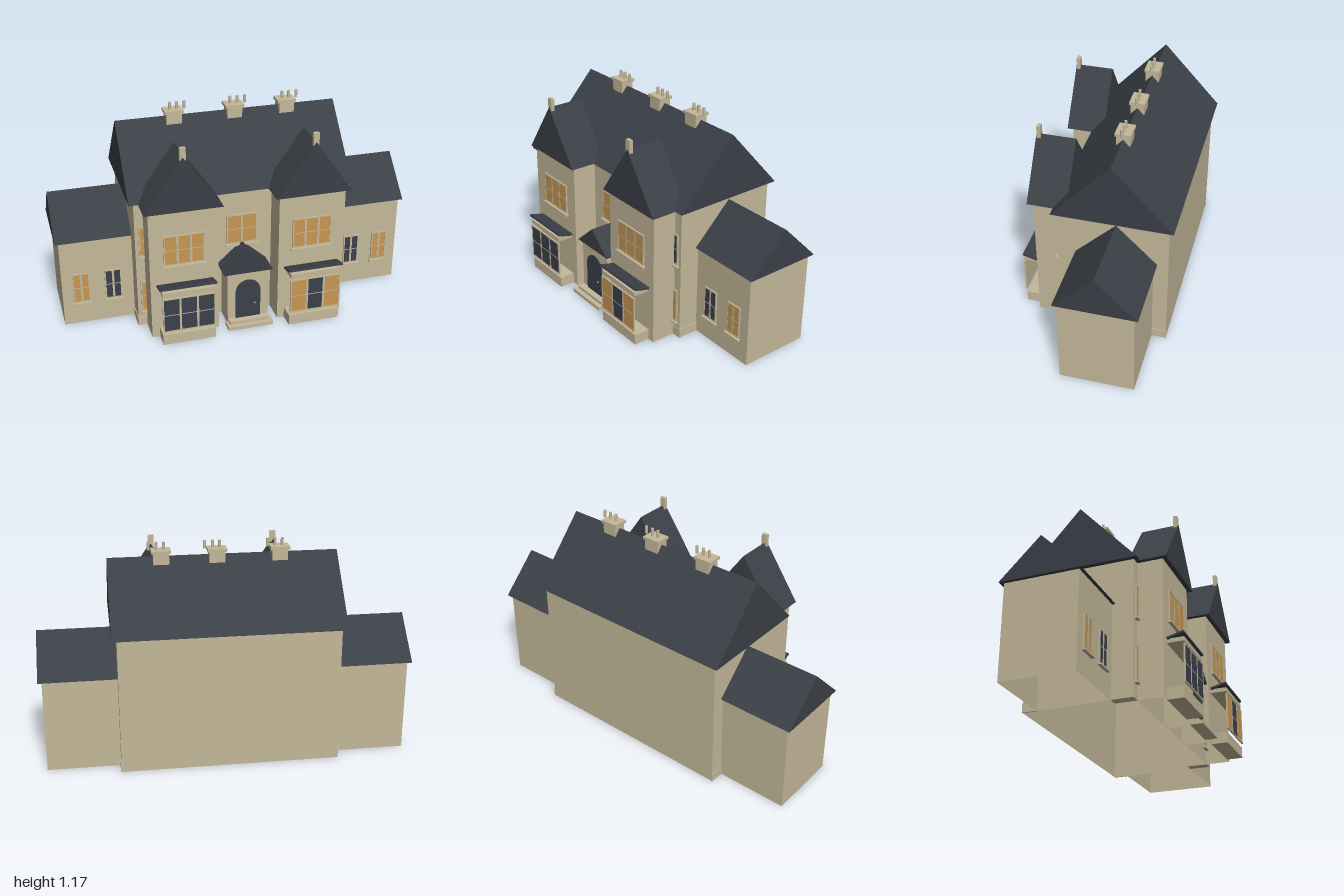
import * as THREE from 'three';

const mat = (name, color) => {
  const m = new THREE.MeshStandardMaterial({ color });
  m.name = name;
  return m;
};

export function createModel() {
  const house = new THREE.Group();
  house.name = 'house';
  const stone = mat('stone', 0xc4b899);
  stone.side = THREE.DoubleSide;
  const slate = mat('slate', 0x3b4047);
  const glass = mat('darkGlass', 0x3b404a);
  const amber = mat('litGlass', 0xc79853);

  const add = (name, geo, material, parent = house) => {
    const m = new THREE.Mesh(geo, material);
    m.name = name;
    parent.add(m);
    return m;
  };
  // box given by its limits on each axis
  const box = (name, material, [x0, x1], [y0, y1], [z0, z1], parent) => {
    const m = add(name, new THREE.BoxGeometry(x1 - x0, y1 - y0, z1 - z0), material, parent);
    m.position.set((x0 + x1) / 2, (y0 + y1) / 2, (z0 + z1) / 2);
    return m;
  };
  // hollow walls: a box keeping only the listed sides (0 +x, 1 -x, 4 +z, 5 -z)
  const walls = (name, xs, ys, zs, sides) => {
    const m = box(name, stone, xs, ys, zs);
    const index = Array.from(m.geometry.index.array);
    m.geometry.setIndex(sides.flatMap((f) => index.slice(f * 6, f * 6 + 6)));
    m.geometry.clearGroups();
  };
  // closed triangular roof with its ridge along z, or along x when alongX is set
  const roof = (name, [a0, a1], [y0, y1], [l0, l1], alongX = false) => {
    const s = new THREE.Shape();
    const k = alongX ? -1 : 1;
    const lo = Math.min(k * a0, k * a1), hi = Math.max(k * a0, k * a1);
    s.moveTo(lo, y0);
    s.lineTo(hi, y0);
    s.lineTo((lo + hi) / 2, y1);
    s.closePath();
    const g = new THREE.ExtrudeGeometry(s, { depth: l1 - l0, bevelEnabled: false });
    g.translate(0, 0, l0);
    if (alongX) g.rotateY(Math.PI / 2);
    return add(name, g, slate);
  };
  // framed window on a wall at depth z: one glass colour per light
  const windowUnit = (name, x, [y0, y1], z, w, panes, sill = true) => {
    const g = new THREE.Group();
    g.name = name;
    house.add(g);
    const x0 = x - w / 2, x1 = x + w / 2, t = 0.007;
    box('backing', stone, [x0 - t, x1 + t], [y0 - t, y1 + t], [z, z + 0.003], g);
    for (const s of [-1, 1]) {
      const e = x + s * (w / 2 + t / 2), v = (y0 + y1) / 2 + s * ((y1 - y0) / 2 + t / 2);
      box('frameSide', stone, [e - t / 2, e + t / 2], [y0 - t, y1 + t], [z, z + 0.008], g);
      box('frameRail', stone, [x0, x1], [v - t / 2, v + t / 2], [z, z + 0.008], g);
    }
    const n = panes.length, gap = 0.012, pw = (w - gap * (n - 1)) / n;
    const ym = (y0 + y1) / 2;
    panes.forEach((m, i) => {
      const a = x0 + i * (pw + gap);
      box('pane', m, [a, a + pw], [y0, y1], [z + 0.001, z + 0.006], g);
      box('glazingBar', stone, [a, a + pw], [ym - 0.002, ym + 0.002], [z + 0.005, z + 0.007], g);
      if (i) box('mullion', stone, [a - gap, a], [y0, y1], [z, z + 0.007], g);
    });
    if (sill) box('sill', stone, [x0 - 0.015, x1 + 0.015], [y0 - 0.02, y0 - 0.01], [z, z + 0.018], g);
  };

  // main block
  walls('mainWalls', [-0.588, 0.588], [0, 0.75], [-0.396, 0.192], [0, 1, 4, 5]);
  roof('mainRoof', [-0.422, 0.216], [0.75, 1.1], [-0.615, 0.615], true);

  for (const s of [-1, 1]) {
    const side = s < 0 ? 'right' : 'left';
    const span = (a, b) => (s > 0 ? [a, b] : [-b, -a]);

    // plinth strips on the ends of the main block
    box(side + 'BackPlinth', stone, span(0.585, 0.592), [0, 0.05], [-0.398, -0.318]);
    box(side + 'FrontPlinth', stone, span(0.54, 0.592), [0, 0.05], [0.077, 0.195]);

    // side wing
    walls(side + 'WingWalls', span(0.588, 0.98), [0, 0.512], [-0.318, 0.077], [s > 0 ? 0 : 1, 4, 5]);
    roof(side + 'WingRoof', [-0.338, 0.095], [0.512, 0.727], span(0.588, 1), true);
    windowUnit(side + 'WingInnerWindow', s * 0.7, [0.14, 0.305], 0.077, 0.078, [glass, glass]);
    windowUnit(side + 'WingOuterWindow', s * 0.875, [0.14, 0.305], 0.077, 0.078, [amber, amber]);

    // projecting gabled bay
    walls(side + 'BayWalls', span(0.168, 0.54), [0, 0.75], [0.192, 0.33], [0, 1, 4]);
    roof(side + 'BayRoof', span(0.143, 0.565), [0.75, 1.05], [0.145, 0.355]);
    box(side + 'GableFinial', stone, span(0.337, 0.369), [1.03, 1.1], [0.33, 0.35]);
    windowUnit(side + 'BayUpperWindow', s * 0.354, [0.442, 0.603], 0.33, 0.206, [amber, amber, amber]);

    // projecting ground-floor window: base, glazing, cornice and tilted slab
    box(side + 'BayWindowBase', stone, span(0.208, 0.498), [0, 0.06], [0.328, 0.417]);
    windowUnit(side + 'BayWindow', s * 0.354, [0.088, 0.279], 0.416, 0.272,
      s < 0 ? [glass, glass, glass] : [amber, glass, amber], false);
    box(side + 'BayCornice', stone, span(0.213, 0.496), [0.297, 0.32], [0.328, 0.42]);
    const slab = box(side + 'BayCanopy', slate, span(0.2, 0.508), [0.326, 0.337], [0.332, 0.424]);
    slab.rotation.x = -0.26;

    // narrow windows beside the bay
    windowUnit(side + 'SideLowerWindow', s * 0.526, [0.1, 0.272], 0.192, 0.07, [amber, amber]);
    const upper = s < 0 ? amber : glass;
    windowUnit(side + 'SideUpperWindow', s * 0.526, [0.442, 0.603], 0.192, 0.07, [upper, upper]);
  }
  windowUnit('middleUpperWindow', 0, [0.442, 0.603], 0.192, 0.16, [amber, amber]);

  // entrance porch
  walls('porchWalls', [-0.115, 0.115], [0, 0.32], [0.192, 0.32], [0, 1, 4]);
  roof('porchRoof', [-0.138, 0.138], [0.32, 0.443], [0.175, 0.335]);
  box('lowerStep', stone, [-0.127, 0.127], [0, 0.02], [0.318, 0.387]);
  box('upperStep', stone, [-0.112, 0.112], [0.02, 0.036], [0.318, 0.36]);
  const arch = new THREE.Shape();
  arch.moveTo(-0.07, 0.036);
  arch.lineTo(0.07, 0.036);
  arch.lineTo(0.07, 0.2);
  arch.absarc(0, 0.2, 0.07, 0, Math.PI, false);
  arch.closePath();
  const door = add('archedDoor', new THREE.ExtrudeGeometry(arch, { depth: 0.005, bevelEnabled: false }), glass);
  door.position.z = 0.321;
  const knob = add('doorKnob', new THREE.SphereGeometry(0.006, 10, 8), amber);
  knob.position.set(0.037, 0.12, 0.329);

  // ridge chimneys with pots
  for (const x of [-0.3, 0.036, 0.332]) {
    const g = new THREE.Group();
    g.name = 'chimney';
    g.position.x = x;
    house.add(g);
    box('stack', stone, [-0.042, 0.042], [1.06, 1.122], [-0.139, -0.067], g);
    box('cap', stone, [-0.052, 0.052], [1.12, 1.135], [-0.145, -0.061], g);
    for (const px of [-0.016, 0.022, 0.064]) {
      const pot = add('pot', new THREE.CylinderGeometry(0.008, 0.008, 0.042, 10), stone, g);
      pot.position.set(px, 1.154, -0.102);
    }
  }
  return house;
}
